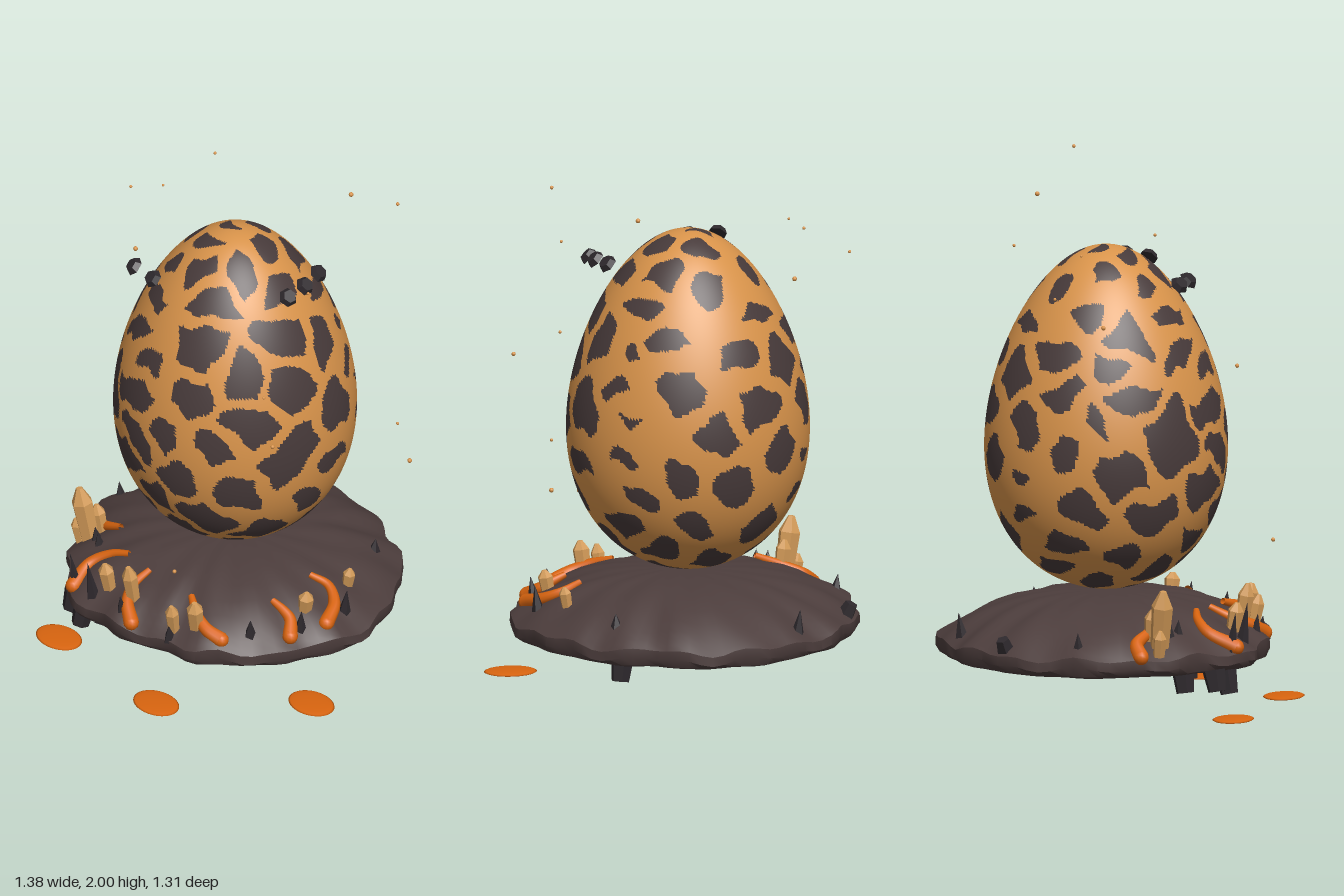
import * as THREE from 'three';
import { toCreasedNormals } from 'three/addons/utils/BufferGeometryUtils.js';

const mat = (name, color) => Object.assign(new THREE.MeshStandardMaterial({ color }), { name });
const V = (x, y, z) => new THREE.Vector3(x, y, z);
const UP = V(0, 1, 0);

// Small seeded random in 0..1
let seed = 7;
const rand = () => (seed = (seed * 16807) % 2147483647) / 2147483647;

// Island outline: radius every 20 degrees, starting at +z and turning to +x
const CX = -0.035, CZ = -0.02;
const RADII = [0.61, 0.59, 0.62, 0.62, 0.64, 0.65, 0.62, 0.62, 0.6, 0.63, 0.64, 0.64, 0.65, 0.655, 0.655, 0.63, 0.63, 0.65];
function outline(phi) {
  const a = ((phi / (Math.PI * 2) + 1) % 1) * 18, i = Math.floor(a) % 18, f = a - Math.floor(a);
  const r = THREE.MathUtils.lerp(RADII[i], RADII[(i + 1) % 18], f * f * (3 - 2 * f));
  return r + 0.007 * Math.sin(phi * 13) + 0.005 * Math.sin(phi * 22 + 1);
}
const dome = s => 0.42 - 0.17 * s ** 3;
function ground(x, z) {
  const dx = x - CX, dz = z - CZ;
  return dome(Math.min(1, Math.hypot(dx, dz) / outline(Math.atan2(dx, dz))));
}

// Egg radius at t, from -1 at the bottom to 1 at the top
const EGG = V(-0.053, 1.0775, -0.028), HALF = 0.6475;
const eggRadius = t => 0.448 * Math.sqrt(Math.max(0, 1 - t * t)) * (1 - 0.176 * t);

function makeEgg(materials) {
  const rows = 170, cols = 220, profile = [];
  for (let i = 0; i <= rows; i++) {
    const t = -Math.cos((i / rows) * Math.PI);
    profile.push(new THREE.Vector2(eggRadius(t), t * HALF));
  }
  const geo = new THREE.LatheGeometry(profile, cols);
  // Scattered centres of the crust plates
  const seeds = [];
  for (let i = 0; i < 84; i++) {
    const t = THREE.MathUtils.clamp(-1 + (2 * i + 1) / 84 + (rand() - 0.5) * 0.1, -0.99, 0.99);
    const a = i * 2.39996 + (rand() - 0.5) * 0.55, r = eggRadius(t);
    seeds.push(V(r * Math.sin(a), t * HALF, r * Math.cos(a)));
  }
  // A face is a glowing crack where its two nearest centres are about equally far
  const pos = geo.attributes.position, idx = geo.index.array, plates = [], cracks = [];
  const p = V(), q = V();
  for (let f = 0; f < idx.length; f += 3) {
    p.set(0, 0, 0);
    for (let k = 0; k < 3; k++) p.add(q.fromBufferAttribute(pos, idx[f + k]));
    p.divideScalar(3);
    const width = 0.06 - 0.035 * p.z + 0.015 * Math.sin(p.x * 9 + p.y * 7);
    q.set(
      p.x + 0.016 * Math.sin(p.y * 31 + p.z * 17) + 0.007 * Math.sin(p.z * 67),
      p.y + 0.016 * Math.sin(p.z * 29 + p.x * 23) + 0.007 * Math.sin(p.x * 71),
      p.z + 0.016 * Math.sin(p.x * 33 + p.y * 19) + 0.007 * Math.sin(p.y * 63));
    let d1 = 9, d2 = 9;
    for (const s of seeds) {
      const d = s.distanceTo(q);
      if (d < d1) { d2 = d1; d1 = d; } else if (d < d2) d2 = d;
    }
    (d2 - d1 < width ? cracks : plates).push(idx[f], idx[f + 1], idx[f + 2]);
  }
  geo.setIndex([...plates, ...cracks]);
  geo.addGroup(0, plates.length, 0);
  geo.addGroup(plates.length, cracks.length, 1);
  const egg = new THREE.Mesh(geo, materials);
  egg.position.copy(EGG);
  return egg;
}

// Domed rock with an uneven rim and a flat underside
function islandGeometry() {
  const profile = [[0, 0.18], [0.5, 0.18], [0.93, 0.18], [0.975, 0.19], [1, 0.215]];
  for (const s of [1, 0.97, 0.93, 0.88, 0.8, 0.7, 0.58, 0.45, 0.3, 0.15, 0]) profile.push([s * 0.997, dome(s)]);
  const geo = new THREE.LatheGeometry(profile.map(([s, y]) => new THREE.Vector2(s, y)), 90);
  const pos = geo.attributes.position;
  for (let i = 0; i < pos.count; i++) {
    const x = pos.getX(i), y = pos.getY(i), z = pos.getZ(i), s = Math.hypot(x, z);
    const phi = Math.atan2(x, z), R = outline(phi);
    const bump = y > 0.2 ? 0.008 * s * s * (Math.sin(phi * 9 + s * 8) + Math.sin(phi * 17 - s * 5)) : 0;
    pos.setXYZ(i, CX + x * R, y + bump, CZ + z * R);
  }
  geo.deleteAttribute('uv');
  return toCreasedNormals(geo, 0.7);
}

// Tapering tube along a path of ground points, thicker at its outer end
function lavaGeometry(path) {
  const pts = path.map(([x, z]) => V(x, ground(x, z) + 0.008, z));
  const segs = 24, sides = 10, curve = new THREE.CatmullRomCurve3(pts);
  const geo = new THREE.TubeGeometry(curve, segs, 0.03, sides);
  const pos = geo.attributes.position, p = V();
  for (let i = 0; i < pos.count; i++) {
    const u = Math.floor(i / (sides + 1)) / segs, c = curve.getPointAt(u);
    p.fromBufferAttribute(pos, i).sub(c).multiplyScalar(0.4 + 0.6 * u).add(c);
    pos.setXYZ(i, p.x, p.y, p.z);
  }
  return geo;
}

export function createModel() {
  const rock = mat('rock', 0x4c3d3c), crust = mat('crust', 0x473a3a), glow = mat('glowing crack', 0xd8934a);
  const lava = mat('lava', 0xd8640f), crystal = mat('crystal', 0xd29a58), shard = mat('dark shard', 0x2e292d);
  lava.side = THREE.DoubleSide;
  for (const m of [crystal, shard]) m.flatShading = true;

  const model = new THREE.Group();
  const add = (name, geo, material, x = 0, y = 0, z = 0) => {
    const mesh = new THREE.Mesh(geo, material);
    mesh.name = name;
    mesh.position.set(x, y, z);
    model.add(mesh);
    return mesh;
  };
  // Turn a mesh so that its axis leans away from the island centre
  const lean = (mesh, amount) => mesh.quaternion.setFromUnitVectors(UP,
    V((mesh.position.x - CX) * amount, 1, (mesh.position.z - CZ) * amount).normalize());

  const egg = makeEgg([crust, glow]);
  egg.name = 'egg';
  model.add(egg);
  add('island', islandGeometry(), rock);

  // Lava streams
  const streams = [
    [[-0.36, 0.27], [-0.45, 0.27], [-0.54, 0.25], [-0.58, 0.28]],
    [[-0.19, 0.37], [-0.26, 0.4], [-0.31, 0.46], [-0.29, 0.56]],
    [[-0.06, 0.38], [-0.06, 0.46], [-0.02, 0.52], [0.05, 0.56]],
    [[0.16, 0.36], [0.24, 0.4], [0.31, 0.41], [0.37, 0.39]],
    [[0.36, -0.05], [0.43, -0.08], [0.5, -0.05], [0.55, 0.03]],
    [[0.38, 0.15], [0.43, 0.14], [0.47, 0.14], [0.52, 0.18]],
  ];
  for (const path of streams) {
    add('lavaStream', lavaGeometry(path), lava);
    const [x, z] = path[3];
    add('lavaStreamEnd', new THREE.SphereGeometry(0.029, 12, 8), lava, x, ground(x, z) + 0.008, z);
  }

  // Pointed six-sided crystals: x, z, height, radius
  const crystals = [
    [-0.48, 0.32, 0.22, 0.042], [-0.46, 0.28, 0.12, 0.03], [-0.52, 0.33, 0.1, 0.026], [-0.15, 0.5, 0.11, 0.031],
    [-0.02, 0.49, 0.16, 0.031], [0.19, 0.47, 0.12, 0.027], [0.26, 0.42, 0.12, 0.033], [0.46, 0.06, 0.09, 0.03],
    [0.43, -0.17, 0.08, 0.024],
  ];
  for (const [x, z, h, r] of crystals) {
    const profile = [[0, 0], [r * 0.85, 0], [r, h * 0.72], [0.3 * r, h], [0, h]];
    const geo = new THREE.LatheGeometry(profile.map(([a, b]) => new THREE.Vector2(a, b)), 6);
    lean(add('crystal', geo, crystal, x, ground(x, z) - 0.015, z), 0.35);
  }

  // Dark spikes: x, z, height
  const spikes = [
    [-0.3, 0.55, 0.16], [-0.19, 0.56, 0.16], [-0.38, 0.36, 0.07], [-0.42, 0.34, 0.07], [-0.63, 0.05, 0.08],
    [-0.39, -0.49, 0.1], [0.29, -0.42, 0.06], [0.53, -0.08, 0.11], [0.42, 0.29, 0.08], [-0.02, 0.55, 0.09],
    [0.2, 0.5, 0.07], [0.51, 0.12, 0.1],
  ];
  for (const [x, z, h] of spikes)
    lean(add('spike', new THREE.ConeGeometry(0.026, h, 5), shard, x, ground(x, z) + h / 2 - 0.02, z), 0.25);
  lean(add('rimRock', new THREE.CylinderGeometry(0.025, 0.038, 0.07, 5), shard, -0.62, 0.28, -0.24), 0.8);

  // Stones hanging under the island
  const hanging = [[-0.36, 0.5, 0.08], [-0.28, 0.52, 0.1], [-0.22, 0.47, 0.08], [-0.17, 0.33, 0.07],
    [-0.31, 0.36, 0.1], [0.27, -0.42, 0.09], [0.44, 0, 0.05], [-0.36, -0.38, 0.04]];
  for (const [x, z, h] of hanging)
    lean(add('hangingStone', new THREE.CylinderGeometry(0.045, 0.034, h, 6), shard, x, 0.19 - h / 2, z), -0.4);

  // Loose shell pieces hovering near the top
  const pieces = [[-0.23, 1.62, 0.32], [-0.12, 1.62, 0.32], [0.28, 1.645, -0.16], [0.31, 1.64, -0.07], [0.32, 1.63, 0.02]];
  for (const [x, y, z] of pieces) {
    const piece = add('shellPiece', new THREE.CylinderGeometry(0.026, 0.037, 0.022, 6), shard, x, y, z);
    piece.quaternion.setFromUnitVectors(UP, V(x - EGG.x, 0.35, z - EGG.z).normalize());
  }

  // Drops of lava below
  for (const [x, z] of [[-0.36, 0.57], [0.22, 0.58], [0.59, 0.135]])
    add('lavaPool', new THREE.SphereGeometry(1, 32, 8), lava, x, 0.009, z).scale.set(0.1, 0.009, 0.075);

  // Drifting embers: x, y, z, radius
  const embers = [
    [0.52, 1.993, -0.34, 0.007], [0.2, 1.86, -0.38, 0.009], [-0.45, 1.77, -0.26, 0.006], [-0.44, 1.74, 0, 0.005],
    [0.42, 1.69, 0.01, 0.006], [-0.665, 1.61, -0.03, 0.006], [-0.48, 1.48, 0.1, 0.009], [0.39, 1.29, 0.2, 0.006],
    [0.55, 1.19, 0.29, 0.008], [0.52, 1.02, -0.34, 0.006], [0.53, 0.84, -0.39, 0.009], [0.26, 0.59, 0.525, 0.008],
  ];
  for (const [x, y, z, r] of embers) add('ember', new THREE.SphereGeometry(r, 8, 6), glow, x, y, z);

  return model;
}
